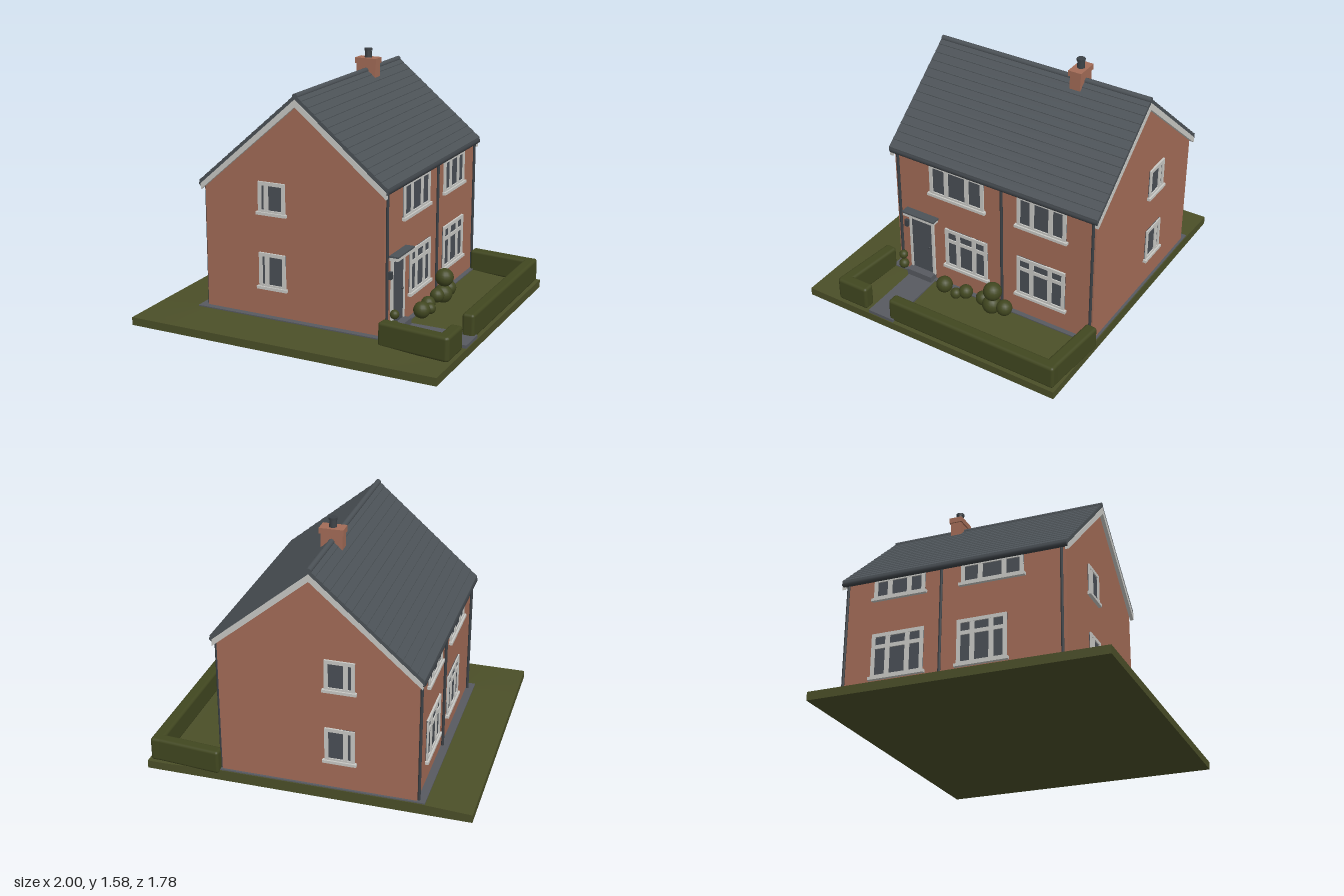
import * as THREE from 'three';
import { RoundedBoxGeometry } from 'three/addons/geometries/RoundedBoxGeometry.js';

const mat = (name, color) => Object.assign(new THREE.MeshStandardMaterial({ color }), { name });
const M = {
  brick: mat('brick', 0xa36c57),
  slate: mat('slate', 0x4c5257),
  white: mat('white paint', 0xc9c9c5),
  glass: mat('window glass', 0x4a4f56),
  pipe: mat('gutter grey', 0x3c4146),
  paving: mat('paving', 0x575a60),
  grass: mat('grass', 0x4b4f28),
  hedge: mat('hedge leaves', 0x414720),
};

// Wall limits, eaves and ridge
const L = -0.67, R = 0.52, BACK = -0.86, FRONT = 0.53, BASE = 0.05;
const RIDGE = [-0.04, 1.45], EAVE_L = [-0.7, 0.87], EAVE_R = [0.55, 0.965];

export function createModel() {
  const model = new THREE.Group();
  model.name = 'house';

  const add = (name, geo, material, x = 0, y = 0, z = 0, parent = model) => {
    const m = new THREE.Mesh(geo, material);
    m.name = name;
    m.position.set(x, y, z);
    parent.add(m);
    return m;
  };
  // Box given by its limits on each axis
  const box = (name, material, [x0, x1], [y0, y1], [z0, z1], parent = model) =>
    add(name, new THREE.BoxGeometry(x1 - x0, y1 - y0, z1 - z0), material,
      (x0 + x1) / 2, (y0 + y1) / 2, (z0 + z1) / 2, parent);
  // Outline in x and y, extruded from z0 to z1
  const prism = (name, material, points, z0, z1) => {
    const shape = new THREE.Shape(points.map(p => new THREE.Vector2(...p)));
    const geo = new THREE.ExtrudeGeometry(shape, { depth: z1 - z0, bevelEnabled: false });
    return add(name, geo, material, 0, 0, z0);
  };

  // Lawn, rising gently towards the walls
  const lawn = new THREE.BoxGeometry(2, 0.06, 1.76, 40, 1, 36);
  const p = lawn.attributes.position;
  for (let i = 0; i < p.count; i++) {
    if (p.getY(i) < 0) { p.setY(i, 0); continue; }
    const x = p.getX(i), z = p.getZ(i);
    const d = Math.hypot(Math.max(L - x, 0, x - R), Math.max(BACK - z, 0, z - FRONT));
    p.setY(i, 0.05 + 0.018 * Math.max(0, 1 - d / 0.35));
  }
  lawn.computeVertexNormals();
  add('lawn', lawn, M.grass);

  // Paving round the house, garden path and doorstep
  box('pavingBorder', M.paving, [-0.72, 0.55], [0.03, 0.073], [-0.875, 0.57]);
  box('gardenPath', M.paving, [0.54, 0.995], [0.03, 0.07], [0.25, 0.43]);
  box('doorstep', M.paving, [0.5, 0.58], [0.05, 0.11], [0.26, 0.44]);

  // Brick body with gables
  prism('walls', M.brick,
    [[L, BASE], [R, BASE], [R, 0.955], [RIDGE[0], 1.415], [L, 0.865]], BACK, FRONT);

  // Roof with overlapping slate courses
  const courses = (from, to, n, lap) => {
    const pts = [];
    for (let i = 0; i < n; i++) {
      const at = (t, lift) => [from[0] + (to[0] - from[0]) * t, from[1] + (to[1] - from[1]) * t + lift];
      pts.push(at(i / n, lap), at((i + 1) / n, 0));
    }
    return pts;
  };
  const rightSide = courses(EAVE_R, RIDGE, 14, 0.004);
  const leftSide = courses(EAVE_L, RIDGE, 16, 0.004).reverse();
  prism('roof', M.slate, [
    [EAVE_R[0], EAVE_R[1] - 0.03], ...rightSide, ...leftSide.slice(1),
    [EAVE_L[0], EAVE_L[1] - 0.03], [RIDGE[0], RIDGE[1] - 0.035],
  ], -0.88, 0.55);
  const ridge = add('ridgeTiles', new THREE.CylinderGeometry(0.018, 0.018, 1.43, 10), M.slate,
    RIDGE[0], 1.441, -0.165);
  ridge.rotation.x = Math.PI / 2;

  // White bargeboards on both gables
  const verge = [[0.54, 0.945], [RIDGE[0], 1.425], [-0.69, 0.853], [-0.69, 0.815],
    [RIDGE[0], 1.38], [0.54, 0.903]];
  prism('frontBargeboard', M.white, verge, FRONT, 0.553);
  prism('backBargeboard', M.white, verge, -0.882, BACK);

  // Gutters and downpipes on both long walls
  for (const [side, x, y] of [[1, R, 0.945], [-1, L, 0.85]]) {
    const gutter = add('gutter', new THREE.CylinderGeometry(0.017, 0.017, 1.42, 10), M.pipe,
      x + side * 0.02, y, -0.165);
    gutter.rotation.x = Math.PI / 2;
    for (const z of [0.505, -0.235, -0.845]) {
      add('downpipe', new THREE.CylinderGeometry(0.009, 0.009, y - 0.06, 8), M.pipe,
        x + side * 0.009, (y + 0.06) / 2, z);
    }
  }

  // Chimney stack, cap and pot
  box('chimneyStack', M.brick, [-0.105, 0.025], [1.3, 1.5], [-0.455, -0.385]);
  box('chimneyCap', M.brick, [-0.113, 0.033], [1.485, 1.52], [-0.463, -0.377]);
  add('chimneyPot', new THREE.CylinderGeometry(0.02, 0.024, 0.06, 12), M.pipe, -0.04, 1.545, -0.42);
  add('chimneyPotRim', new THREE.CylinderGeometry(0.026, 0.026, 0.014, 12), M.pipe, -0.04, 1.571, -0.42);

  // Window: glass, white frame, mullions at the given fractions, optional transom
  const makeWindow = (name, w, h, mullions, transom) => {
    const g = new THREE.Group();
    g.name = name;
    const t = 0.022, D = [-0.01, 0.012], x = w / 2, y = h / 2;
    box('glass', M.glass, [-x, x], [-y, y], [-0.01, 0.004], g);
    for (const s of [-1, 1]) {
      box('jamb', M.white, [s * (x - t / 2) - t / 2, s * (x - t / 2) + t / 2], [-y, y], D, g);
      box('rail', M.white, [-x, x], [s * (y - t / 2) - t / 2, s * (y - t / 2) + t / 2], D, g);
    }
    for (const f of mullions) {
      const c = -x + f * w;
      box('mullion', M.white, [c - 0.014, c + 0.014], [-y, y], [-0.01, 0.011], g);
    }
    if (transom) {
      const c = -y + transom * h;
      box('transom', M.white, [-x, x], [c - 0.012, c + 0.012], [-0.01, 0.0105], g);
    }
    box('sill', M.white, [-x - 0.012, x + 0.012], [-y - 0.008, -y + 0.01], [-0.01, 0.022], g);
    model.add(g);
    return g;
  };

  // Gable windows
  for (const [z, turn] of [[FRONT, 0], [BACK, Math.PI]]) {
    for (const [y0, y1] of [[0.25, 0.47], [0.715, 0.91]]) {
      const g = makeWindow('gableWindow', 0.18, y1 - y0, [turn ? 0.7 : 0.3]);
      g.position.set(-0.21, (y0 + y1) / 2, z);
      g.rotation.y = turn;
    }
  }
  // Windows of the long walls
  for (const [x, turn, top] of [[R, Math.PI / 2, 0.93], [L, -Math.PI / 2, 0.85]]) {
    for (const [z0, z1, y0, y1, transom] of [
      [-0.13, 0.175, 0.215, 0.495, 0.7], [-0.67, -0.34, 0.215, 0.495, 0.7],
      [-0.11, 0.275, 0.715, top, 0], [-0.67, -0.34, 0.715, top, 0],
    ]) {
      const g = makeWindow(transom ? 'lowerWindow' : 'upperWindow', z1 - z0, y1 - y0, [0.31, 0.69], transom);
      g.position.set(x, (y0 + y1) / 2, (z0 + z1) / 2);
      g.rotation.y = turn;
    }
  }

  // Front door, frame, canopy and lamp
  box('door', M.glass, [0.51, 0.528], [0.1, 0.5], [0.275, 0.425]);
  for (const z of [0.268, 0.432]) box('doorJamb', M.white, [0.51, 0.534], [0.1, 0.51], [z - 0.008, z + 0.008]);
  box('doorHead', M.white, [0.51, 0.534], [0.497, 0.515], [0.26, 0.44]);
  box('canopy', M.white, [0.5, 0.575], [0.515, 0.535], [0.23, 0.455]);
  box('canopyTop', M.slate, [0.5, 0.578], [0.535, 0.545], [0.225, 0.46]);
  add('doorKnob', new THREE.SphereGeometry(0.008, 10, 8), M.pipe, 0.533, 0.3, 0.295);
  box('wallLamp', M.pipe, [0.515, 0.54], [0.405, 0.45], [0.45, 0.475]);

  // Clipped hedges along the garden edge, given as [x0, z0, x1, z1]
  for (const [x0, z0, x1, z1] of [
    [0.945, -0.83, 0.945, 0.25], [0.565, -0.86, 0.945, -0.825],
    [0.565, 0.595, 0.945, 0.635], [0.945, 0.49, 0.945, 0.635],
  ]) {
    const len = Math.hypot(x1 - x0, z1 - z0) + 0.07;
    const h = add('hedge', new RoundedBoxGeometry(len, 0.15, 0.076, 3, 0.018), M.hedge,
      (x0 + x1) / 2, 0.125, (z0 + z1) / 2);
    h.rotation.y = -Math.atan2(z1 - z0, x1 - x0);
  }

  // Round shrubs beside the wall, given as [x, y, z, radius]
  for (const [x, y, z, r] of [
    [0.595, 0.215, -0.21, 0.058], [0.59, 0.12, -0.29, 0.05], [0.58, 0.12, -0.13, 0.045],
    [0.59, 0.11, -0.2, 0.06], [0.575, 0.11, 0.0, 0.045], [0.61, 0.1, 0.05, 0.035],
    [0.595, 0.12, 0.145, 0.052], [0.565, 0.13, 0.475, 0.032], [0.565, 0.2, 0.475, 0.028],
  ]) add('shrub', new THREE.SphereGeometry(r, 16, 12), M.hedge, x, y, z);

  return model;
}
